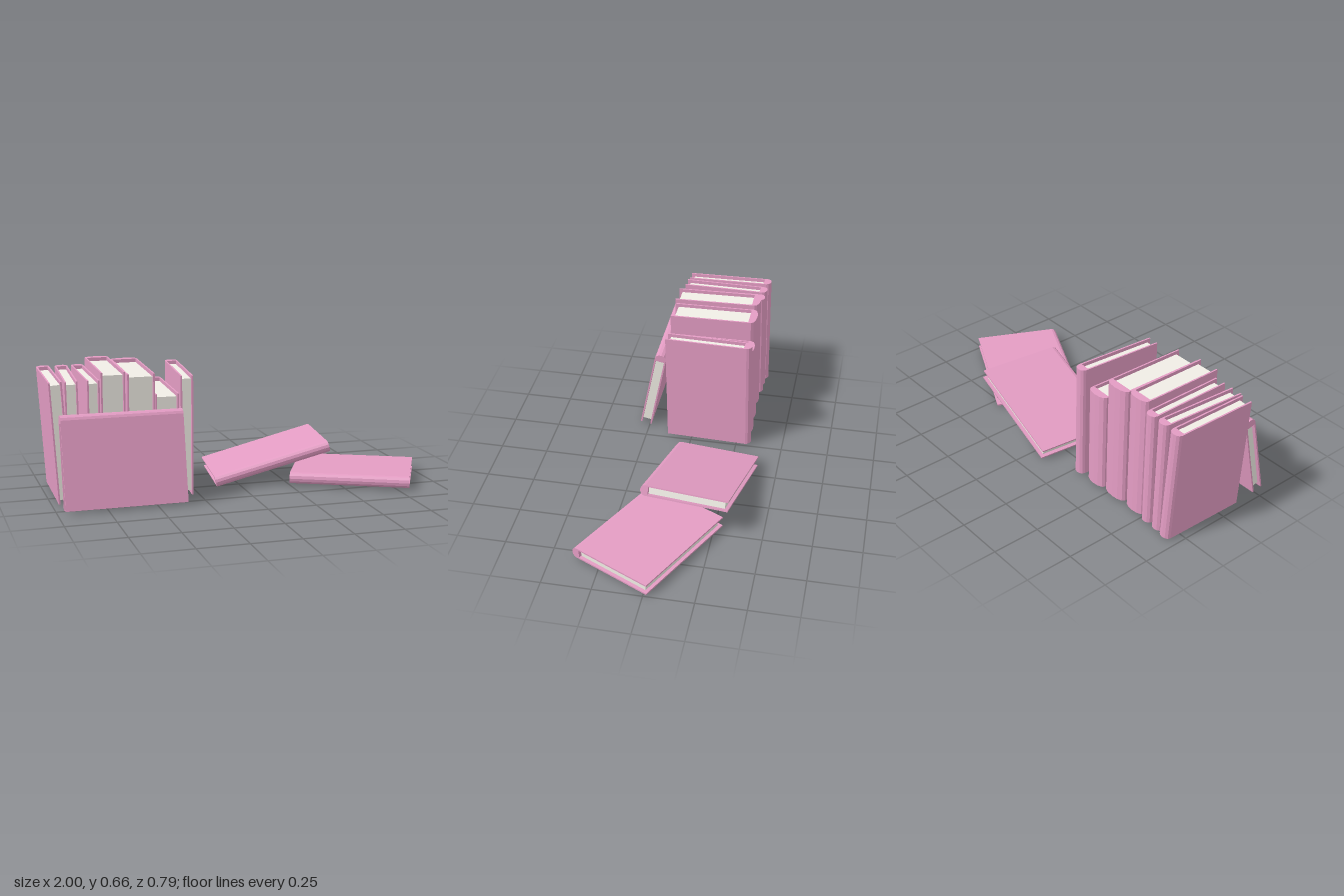
import * as THREE from 'three';

const coverMat = new THREE.MeshStandardMaterial({ color: 0xe39cc3 });
const pageMat = new THREE.MeshStandardMaterial({ color: 0xf0ede5 });
const BULGE = 0.026, SPINE = 0.041, BOARD = 0.008, INSET = 0.018;

// Hardback centred on its origin: x = thickness, y = height, +z = open edge, -z = rounded spine
function makeBook(name, t, h, d) {
  const book = new THREE.Group();
  book.name = name;
  const a = t / 2, i = a - BOARD, top = d / 2;

  // U-shaped cover section (section y points to the spine), extruded along the height
  const s = new THREE.Shape();
  s.moveTo(-i, -top);
  s.lineTo(-i, top - SPINE);
  s.lineTo(i, top - SPINE);
  s.lineTo(i, -top);
  s.lineTo(a, -top);
  s.lineTo(a, top - BULGE);
  s.absellipse(0, top - BULGE, a, BULGE, 0, Math.PI, false, 0);
  s.lineTo(-a, -top);
  s.closePath();
  const coverGeo = new THREE.ExtrudeGeometry(s, { depth: h, bevelEnabled: false, curveSegments: 3 });
  coverGeo.translate(0, 0, -h / 2).rotateX(-Math.PI / 2);
  const cover = new THREE.Mesh(coverGeo, coverMat);
  cover.name = 'cover';

  // page block set back from the cover edges
  const depth = d - SPINE - INSET;
  const pages = new THREE.Mesh(new THREE.BoxGeometry(2 * i, h - 2 * INSET, depth), pageMat);
  pages.position.z = -top + SPINE + depth / 2;
  pages.name = 'pages';

  book.add(cover, pages);
  return book;
}

// Aim the book's height and open edge along two directions
function place(book, centre, up, open) {
  const y = new THREE.Vector3(...up).normalize();
  const z = new THREE.Vector3(...open);
  z.addScaledVector(y, -z.dot(y)).normalize();
  const x = new THREE.Vector3().crossVectors(y, z);
  book.quaternion.setFromRotationMatrix(new THREE.Matrix4().makeBasis(x, y, z));
  book.position.set(...centre);
  return book;
}

export function createModel() {
  const model = new THREE.Group();
  model.name = 'books';

  // upright row: x, z, thickness, height, sideways lean, yaw
  const row = [
    [-0.948, -0.102, 0.066, 0.615, -0.06, -0.01],
    [-0.876, -0.092, 0.064, 0.615, -0.015, -0.05],
    [-0.785, -0.09, 0.062, 0.615, 0, 0.01],
    [-0.688, -0.079, 0.12, 0.654, 0, 0],
    [-0.545, -0.082, 0.138, 0.638, 0, -0.01],
    [-0.41, -0.088, 0.12, 0.53, 0, -0.02],
    [-0.298, -0.093, 0.064, 0.615, 0, -0.06],
  ];
  row.forEach(([x, z, t, h, lean, yaw], n) => {
    const book = makeBook('uprightBook' + (n + 1), t, h, 0.462);
    model.add(place(book, [x, h / 2 + 0.006, z], [lean, 1, 0.018], [yaw, 0, 1]));
  });

  // book propped against the row, spine on top
  model.add(place(makeBook('leaningBook', 0.062, 0.61, 0.465), [-0.655, 0.235, 0.227], [1, 0, 0], [0, -0.98, 0.195]));

  // two books lying on the ground, one resting on the other
  model.add(place(makeBook('flatBook', 0.06, 0.619, 0.458), [0.62, 0.04, 0.051], [0.897, 0, 0.443], [0.443, 0, -0.897]));
  model.add(place(makeBook('tiltedBook', 0.058, 0.622, 0.455), [0.187, 0.114, -0.134], [0.6, 0.165, 0.07], [0.115, 0, -0.993]));

  return model;
}
